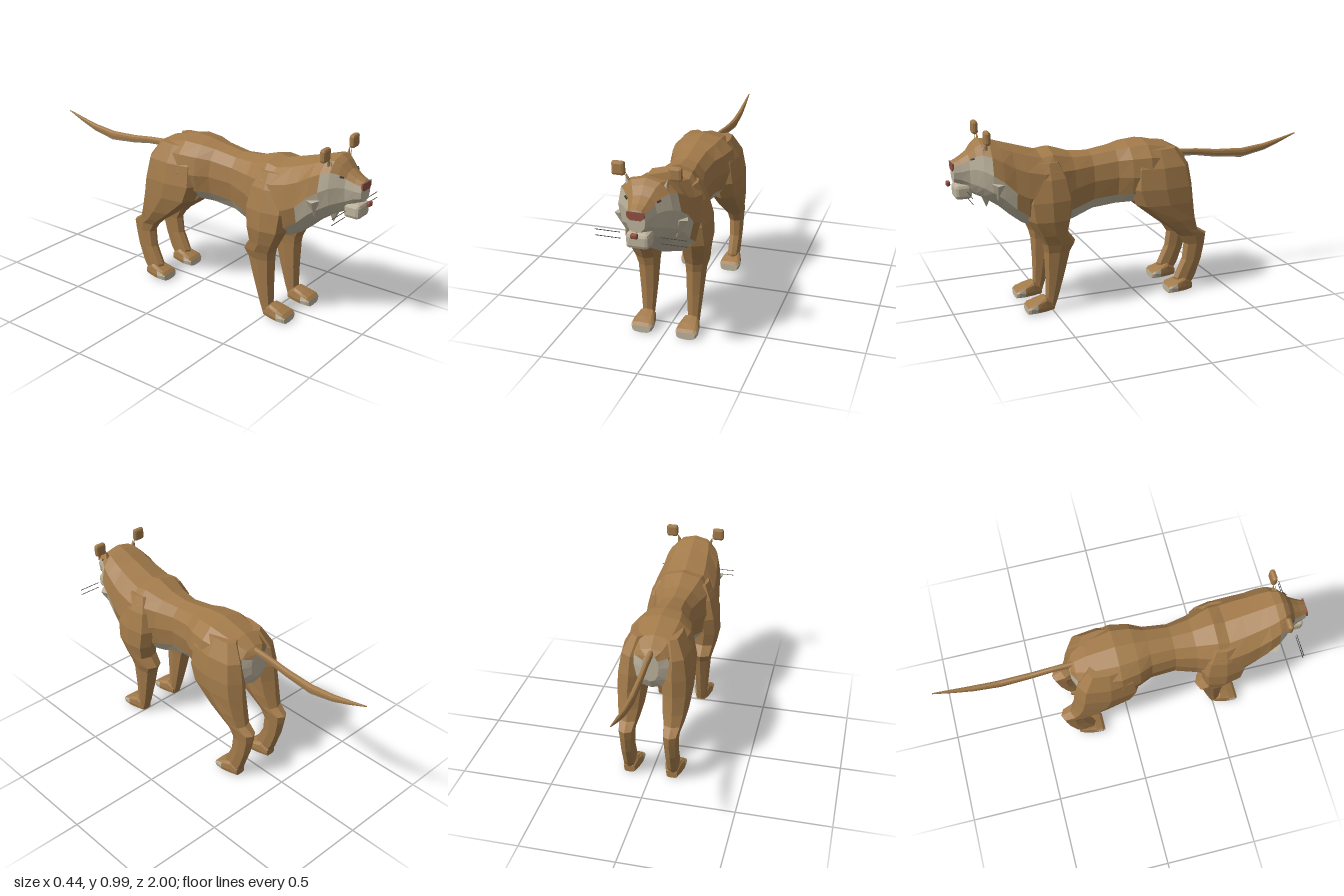
import * as THREE from 'three';
import { RoundedBoxGeometry } from 'three/addons/geometries/RoundedBoxGeometry.js';

function material(name, color) {
  const m = new THREE.MeshStandardMaterial({ color });
  m.name = name;
  return m;
}

// Faceted normals for any geometry
function faceted(geometry) {
  const g = geometry.index ? geometry.toNonIndexed() : geometry;
  g.computeVertexNormals();
  return g;
}

const power = (v, e) => Math.sign(v) * Math.pow(Math.abs(v), e);

// Upright ring: z, top, bottom, half width, height of the widest point
function uprightRing([z, top, bottom, w, mid], cx = 0, e = 0.85, n = 12) {
  return Array.from({ length: n }, (_, k) => {
    const a = (k / n) * Math.PI * 2;
    const c = power(Math.cos(a), e);
    return [cx + w * power(Math.sin(a), e), mid + c * (c > 0 ? top - mid : mid - bottom), z];
  });
}

// Level ring: y, inner x, outer x, back z, front z (for one side)
function levelRing([y, x0, x1, z0, z1], side, n = 8) {
  const cx = side * (x0 + x1) / 2, cz = (z0 + z1) / 2;
  return Array.from({ length: n }, (_, k) => {
    const a = (k / n) * Math.PI * 2;
    return [cx + (x1 - x0) / 2 * power(Math.sin(a), 0.75), y, cz + (z1 - z0) / 2 * power(Math.cos(a), 0.75)];
  });
}

// Skin a list of rings; isPale(ring, segment) picks the second material
function loft(rings, isPale = () => false, paleStart = false, paleEnd = false) {
  const lists = [[], []];
  const n = rings[0].length;
  const tri = (pale, a, b, c) => lists[pale ? 1 : 0].push(...a, ...b, ...c);
  const centre = r => [0, 1, 2].map(i => r.reduce((s, p) => s + p[i], 0) / n);
  for (let i = 0; i < rings.length - 1; i++) {
    const A = rings[i], B = rings[i + 1];
    for (let k = 0; k < n; k++) {
      const j = (k + 1) % n, pale = isPale(i, k);
      tri(pale, A[k], B[k], B[j]);
      tri(pale, A[k], B[j], A[j]);
    }
  }
  const first = rings[0], last = rings[rings.length - 1];
  const c0 = centre(first), c1 = centre(last);
  for (let k = 0; k < n; k++) {
    const j = (k + 1) % n;
    tri(paleStart, c0, first[k], first[j]);
    tri(paleEnd, c1, last[j], last[k]);
  }
  const g = new THREE.BufferGeometry();
  g.setAttribute('position', new THREE.Float32BufferAttribute([...lists[0], ...lists[1]], 3));
  g.addGroup(0, lists[0].length / 3, 0);
  g.addGroup(lists[0].length / 3, lists[1].length / 3, 1);
  g.computeVertexNormals();
  return g;
}

export function createModel() {
  const model = new THREE.Group();
  const tan = material('tan fur', 0xa27a4a);
  const cream = material('cream fur', 0xbcb29c);
  const rust = material('rust nose', 0x8f5040);
  const dark = material('dark whisker', 0x4a4540);
  const fur = [tan, cream];

  function add(name, geometry, mat, x = 0, y = 0, z = 0, parent = model) {
    const mesh = new THREE.Mesh(geometry, mat);
    mesh.name = name;
    mesh.position.set(x, y, z);
    parent.add(mesh);
    return mesh;
  }

  // Segments at or below the given step from the top are pale
  const under = steps => (i, k) => Math.min(k, 11 - k) >= steps[i];

  // Torso, neck and head in one skin; the last number is where cream begins
  const torso = [
    [-0.295, 0.755, 0.60, 0.045, 0.68, 2], [-0.27, 0.78, 0.55, 0.10, 0.68, 3],
    [-0.20, 0.82, 0.53, 0.15, 0.68, 4], [-0.05, 0.857, 0.52, 0.18, 0.68, 4],
    [0.05, 0.85, 0.515, 0.16, 0.68, 4], [0.12, 0.835, 0.51, 0.125, 0.68, 4],
    [0.25, 0.815, 0.495, 0.113, 0.67, 4], [0.36, 0.822, 0.455, 0.14, 0.65, 4],
    [0.47, 0.858, 0.445, 0.185, 0.62, 4], [0.53, 0.845, 0.452, 0.195, 0.63, 4],
    [0.62, 0.872, 0.462, 0.188, 0.64, 4], [0.68, 0.89, 0.51, 0.178, 0.67, 3],
    [0.74, 0.908, 0.565, 0.170, 0.73, 3], [0.79, 0.925, 0.60, 0.155, 0.765, 2],
    [0.83, 0.928, 0.625, 0.128, 0.785, 2], [0.86, 0.905, 0.64, 0.10, 0.79, 2],
    [0.89, 0.868, 0.66, 0.073, 0.785, 2], [0.93, 0.842, 0.70, 0.057, 0.775, 2],
    [0.965, 0.825, 0.715, 0.045, 0.77, 2],
  ];
  add('body and head', loft(torso.map(s => uprightRing(s)), under(torso.map(s => s[5])), true, true), fur);

  // Tail with a pale underside
  const tail = [
    [-1.0, 0.803, 0.797, 0.003, 0.80], [-0.9, 0.779, 0.755, 0.009, 0.767],
    [-0.8, 0.757, 0.718, 0.013, 0.74], [-0.66, 0.742, 0.69, 0.015, 0.718],
    [-0.5, 0.75, 0.706, 0.014, 0.73], [-0.38, 0.765, 0.726, 0.013, 0.747],
    [-0.25, 0.775, 0.735, 0.015, 0.757],
  ];
  add('tail', loft(tail.map(s => uprightRing(s)), (i, k) => Math.min(k, 11 - k) >= 4), fur);

  const foreleg = [
    [0.80, 0.05, 0.145, 0.44, 0.57], [0.72, 0.05, 0.185, 0.40, 0.61],
    [0.61, 0.06, 0.213, 0.38, 0.635], [0.51, 0.07, 0.22, 0.395, 0.62],
    [0.43, 0.065, 0.205, 0.41, 0.575], [0.375, 0.07, 0.19, 0.37, 0.55],
    [0.33, 0.075, 0.177, 0.395, 0.54], [0.20, 0.08, 0.166, 0.43, 0.535],
    [0.08, 0.088, 0.155, 0.465, 0.535], [0.01, 0.092, 0.15, 0.49, 0.54],
  ];
  const hindleg = [
    [0.81, 0.04, 0.13, -0.22, 0.0], [0.72, 0.04, 0.18, -0.28, 0.05],
    [0.61, 0.03, 0.20, -0.30, 0.06], [0.52, 0.04, 0.20, -0.308, 0.025],
    [0.42, 0.05, 0.19, -0.32, -0.10], [0.355, 0.065, 0.175, -0.335, -0.19],
    [0.32, 0.075, 0.163, -0.39, -0.225], [0.27, 0.08, 0.157, -0.382, -0.258],
    [0.18, 0.085, 0.155, -0.363, -0.248], [0.08, 0.088, 0.152, -0.33, -0.20],
    [0.01, 0.092, 0.15, -0.28, -0.21],
  ];
  const paw = [
    [-0.145, 0.05, 0.004, 0.03, 0.025], [-0.10, 0.085, 0, 0.045, 0.03],
    [-0.05, 0.068, 0, 0.056, 0.03], [-0.015, 0.052, 0, 0.057, 0.035],
    [0, 0.038, 0, 0.05, 0.03],
  ];

  for (const side of [-1, 1]) {
    const label = side > 0 ? 'left' : 'right';

    // Legs and paws with cream toes and soles
    for (const [name, leg, toe] of [['front', foreleg, 0.64], ['hind', hindleg, -0.155]]) {
      add(`${label} ${name} leg`, loft(leg.map(s => levelRing(s, side))), fur);
      const rings = paw.map(s => uprightRing([s[0] + toe, ...s.slice(1)], side * 0.118, 0.6));
      add(`${label} ${name} paw`, loft(rings, under([5, 4, 2, 2]), false, true), fur);
    }

    // Pointed ear with a pale inside
    const ear = new THREE.Group();
    ear.name = `${label} ear`;
    ear.position.set(side * 0.089, 0.885, 0.81);
    ear.rotation.z = -side * 0.3;
    model.add(ear);
    const cone = faceted(new THREE.ConeGeometry(0.028, 0.11, 6));
    add('ear back', cone, tan, 0, 0, 0, ear).scale.z = 0.7;
    add('ear inside', cone, cream, 0, -0.006, 0.012, ear).scale.set(0.85, 0.9, 0.6);

    // Rounded block above each ear
    add(`${label} ear block`, faceted(new RoundedBoxGeometry(0.066, 0.07, 0.03, 1, 0.013)), tan, side * 0.137, 0.955, 0.815);

    // Eye
    const eye = add(`${label} eye`, new THREE.BoxGeometry(0.02, 0.008, 0.008), dark, side * 0.079, 0.841, 0.876);
    eye.rotation.set(0, side * 0.7, side * 0.3);

    // Cheek ruff
    const ruff = add(`${label} cheek ruff`, faceted(new THREE.ConeGeometry(0.035, 0.11, 5)), cream, side * 0.135, 0.67, 0.765);
    ruff.rotation.z = Math.PI - side * 0.25;

    // Whiskers
    for (const y of [0.653, 0.683]) {
      const whisker = add(`${label} whisker`, new THREE.CylinderGeometry(0.0018, 0.0018, 0.125, 5), dark, side * 0.16, y, 0.915);
      whisker.rotation.z = Math.PI / 2;
    }
  }

  // Chin tuft
  add('chin tuft', faceted(new THREE.ConeGeometry(0.045, 0.09, 5)), cream, 0, 0.61, 0.80).rotation.x = Math.PI;

  // Nose pad on the face
  const pad = new THREE.Shape([[-0.042, 0.815], [-0.042, 0.79], [-0.025, 0.776], [0.025, 0.776], [0.042, 0.79], [0.042, 0.815]]
    .map(p => new THREE.Vector2(...p)));
  add('nose pad', new THREE.ExtrudeGeometry(pad, { depth: 0.009, bevelEnabled: false }), rust, 0, 0, 0.962);

  // Blocky muzzle and its small nose
  add('muzzle', faceted(new RoundedBoxGeometry(0.112, 0.076, 0.086, 1, 0.018)), cream, 0, 0.668, 0.922);
  add('nose', faceted(new RoundedBoxGeometry(0.034, 0.024, 0.02, 1, 0.006)), rust, 0, 0.709, 0.99);

  return model;
}
